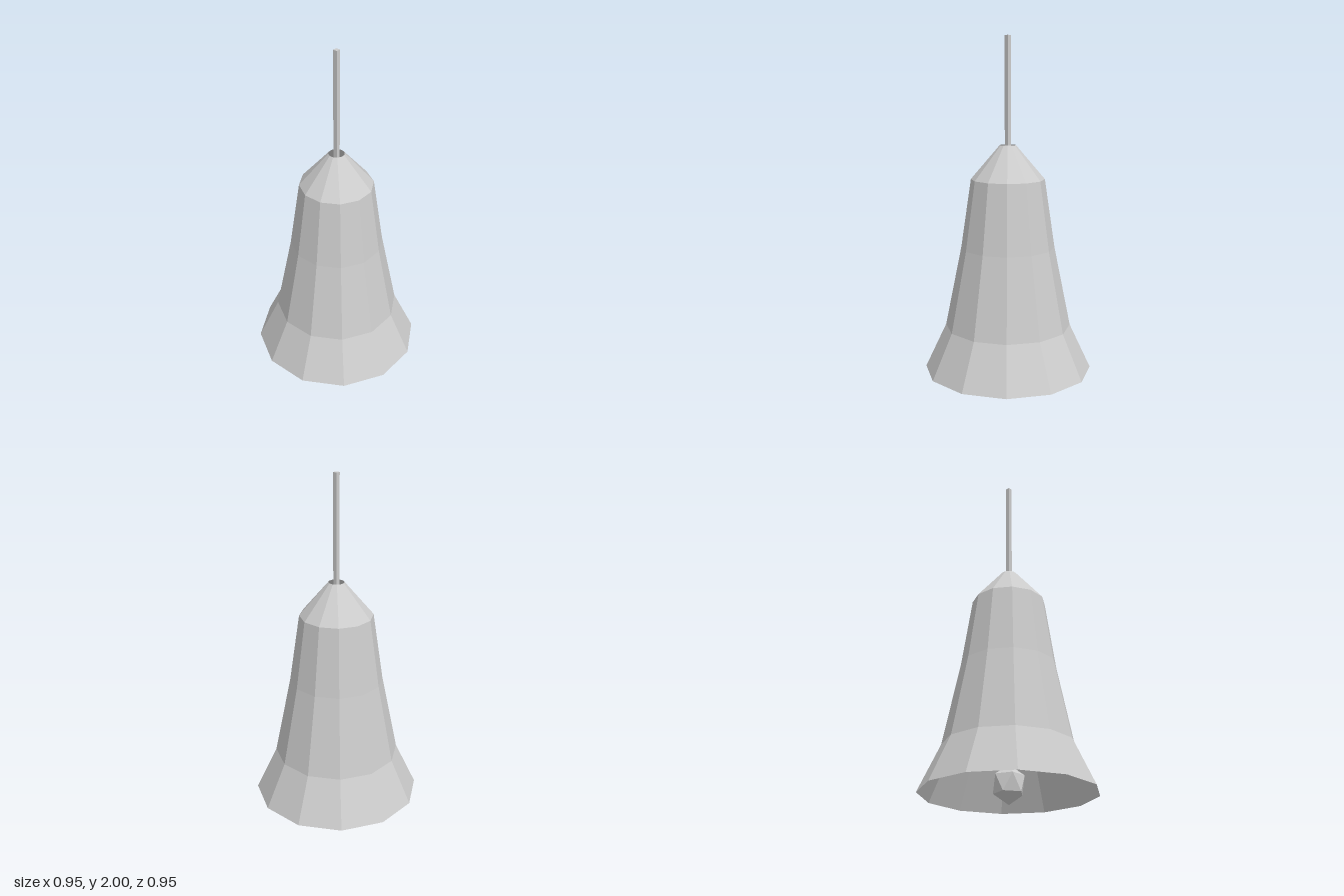
import * as THREE from 'three';

export function createModel() {
  const model = new THREE.Group();
  const metal = new THREE.MeshStandardMaterial({ color: 0xcccccc });
  metal.name = 'greyMetal';
  metal.flatShading = true;
  metal.side = THREE.DoubleSide;

  const add = (name, geometry, y = 0) => {
    const mesh = new THREE.Mesh(geometry, metal);
    mesh.name = name;
    mesh.position.y = y;
    model.add(mesh);
    return mesh;
  };

  // Twelve-sided flared shell, open at the rim and at the crown
  const profile = [[0.49, 0.058], [0.367, 0.32], [0.272, 0.79], [0.213, 1.19], [0.046, 1.386]]
    .map(([r, y]) => new THREE.Vector2(r, y));
  add('bellShell', new THREE.LatheGeometry(profile, 12, Math.PI / 12, Math.PI * 2));

  // Square hanging rod passing through the crown opening
  const rodBottom = 1.2, rodTop = 2;
  add('hangingRod', new THREE.BoxGeometry(0.025, rodTop - rodBottom, 0.025), (rodTop + rodBottom) / 2);

  // Faceted clapper ball standing on one corner
  const ball = new THREE.IcosahedronGeometry(0.095, 0);
  ball.rotateZ(-Math.atan(2 / (1 + Math.sqrt(5))));
  ball.scale(1, 1.15, 1);
  add('clapper', ball, 0.109);

  return model;
}
